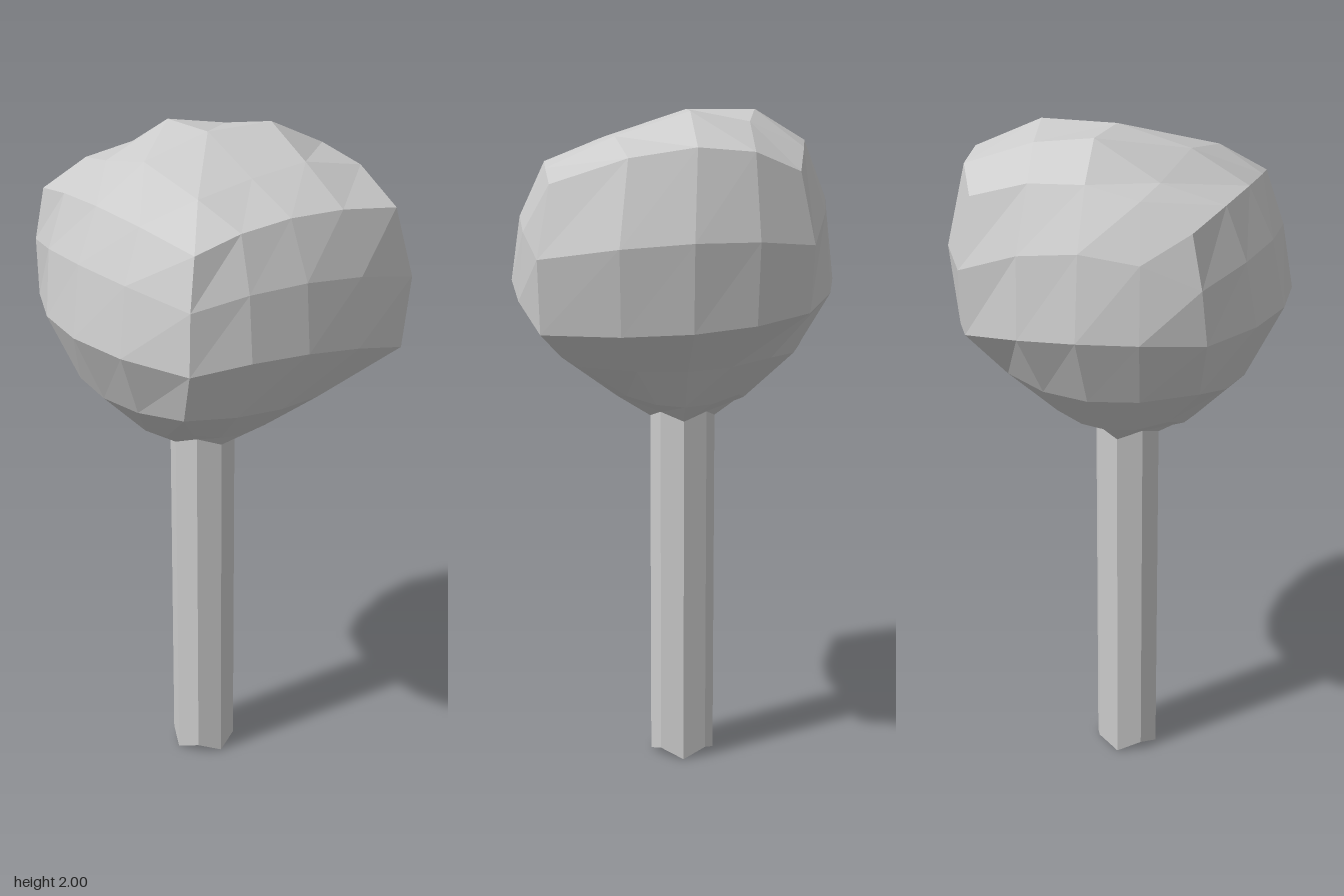
import * as THREE from 'three';

const V = (p) => new THREE.Vector3(...p);

// Eight key points (corner, middle, corner, ...) become a ring of sixteen by quadratic interpolation.
function ring16(keys) {
  const k = keys.map(V);
  const out = [];
  for (let s = 0; s < 8; s += 2) {
    const a = k[s], m = k[s + 1], c = k[(s + 2) % 8];
    const quarter = (p, q) => p.clone().multiplyScalar(0.375).addScaledVector(m, 0.75).addScaledVector(q, -0.125);
    out.push(a, quarter(a, c), m, quarter(c, a));
  }
  return out;
}

// Adds a quad as two triangles, skipping collapsed ones.
function quad(out, a, b, c, d) {
  for (const [p, q, r] of [[a, b, c], [a, c, d]]) {
    if (p.equals(q) || q.equals(r) || r.equals(p)) continue;
    for (const v of [p, q, r]) out.push(v.x, v.y, v.z);
  }
}

// Joins closed rings listed from top to bottom.
function loft(out, rings) {
  for (let r = 0; r + 1 < rings.length; r++) {
    const a = rings[r], b = rings[r + 1], n = a.length;
    for (let i = 0; i < n; i++) {
      const j = (i + 1) % n;
      quad(out, a[i], a[j], b[j], b[i]);
    }
  }
}

function facetedMesh(name, positions) {
  const geo = new THREE.BufferGeometry();
  geo.setAttribute('position', new THREE.Float32BufferAttribute(positions, 3));
  geo.computeVertexNormals();
  const mat = new THREE.MeshStandardMaterial({ color: 0xcccccc, flatShading: true, side: THREE.DoubleSide });
  const mesh = new THREE.Mesh(geo, mat);
  mesh.name = name;
  return mesh;
}

// Octagonal trunk ring, starting at the back right-hand corner, with scalloped height.
function trunkRing(midY, diagonalY) {
  return Array.from({ length: 8 }, (_, i) => {
    const t = (-135 + i * 45) * Math.PI / 180;
    return new THREE.Vector3(-0.032 + 0.098 * Math.cos(t), i % 2 ? midY : diagonalY, 0.033 + 0.098 * Math.sin(t));
  });
}

export function createModel() {
  const group = new THREE.Group();
  group.name = 'tree';

  // Crown side rings: back -x corner, back, back +x corner, +x side, front +x corner, front, front -x corner, -x side
  const rings = [
    [[-.34, 1.84, -.32], [-.05, 1.91, -.42], [.35, 1.81, -.365], [.375, 1.85, .03],
      [.37, 1.80, .34], [-.03, 1.85, .385], [-.41, 1.81, .33], [-.39, 1.91, .03]],
    [[-.38, 1.64, -.345], [-.04, 1.66, -.485], [.385, 1.61, -.405], [.45, 1.69, .03],
      [.40, 1.66, .375], [-.02, 1.70, .455], [-.415, 1.66, .36], [-.455, 1.74, .03]],
    [[-.37, 1.45, -.335], [-.04, 1.41, -.45], [.38, 1.40, -.38], [.478, 1.50, .04],
      [.413, 1.49, .388], [0, 1.50, .49], [-.39, 1.50, .37], [-.482, 1.50, .03]],
    [[-.27, 1.31, -.25], [-.03, 1.28, -.30], [.27, 1.29, -.27], [.36, 1.30, .04],
      [.33, 1.33, .35], [-.02, 1.29, .385], [-.31, 1.33, .33], [-.385, 1.30, .03]],
    [[-.19, 1.18, -.13], [-.03, 1.15, -.17], [.14, 1.18, -.14], [.18, 1.16, .035],
      [.16, 1.19, .20], [-.03, 1.15, .24], [-.20, 1.19, .21], [-.22, 1.15, .035]],
  ].map(ring16);

  // Underside closes onto the trunk: each trunk corner serves three crown points
  const neck = trunkRing(1.085, 1.11);
  const neck16 = Array.from({ length: 16 }, (_, i) =>
    i % 4 === 2 ? neck[(i / 2) % 8] : neck[(Math.round(i / 4) * 2) % 8]);

  const crown = [];
  loft(crown, [...rings, neck16]);

  // Crown top: 5 x 5 grid, border taken from the upper ring
  const inner = [
    [[-.21, 1.97, -.18], [-.04, 2.0, -.22], [.17, 1.93, -.18]],
    [[-.24, 2.0, .005], [-.04, 2.0, .005], [.20, 1.92, .03]],
    [[-.27, 1.90, .20], [-.04, 1.945, .22], [.23, 1.90, .23]],
  ].map((row) => row.map(V));
  const top = (i, j) => {
    if (i === 0) return rings[0][j];
    if (j === 4) return rings[0][4 + i];
    if (i === 4) return rings[0][12 - j];
    if (j === 0) return rings[0][16 - i];
    return inner[i - 1][j - 1];
  };
  for (let i = 0; i < 4; i++) {
    for (let j = 0; j < 4; j++) quad(crown, top(i, j), top(i + 1, j), top(i + 1, j + 1), top(i, j + 1));
  }
  group.add(facetedMesh('crown', crown));

  // Open octagonal trunk
  const trunk = [];
  loft(trunk, [neck, trunkRing(0, 0.028)]);
  group.add(facetedMesh('trunk', trunk));

  return group;
}
